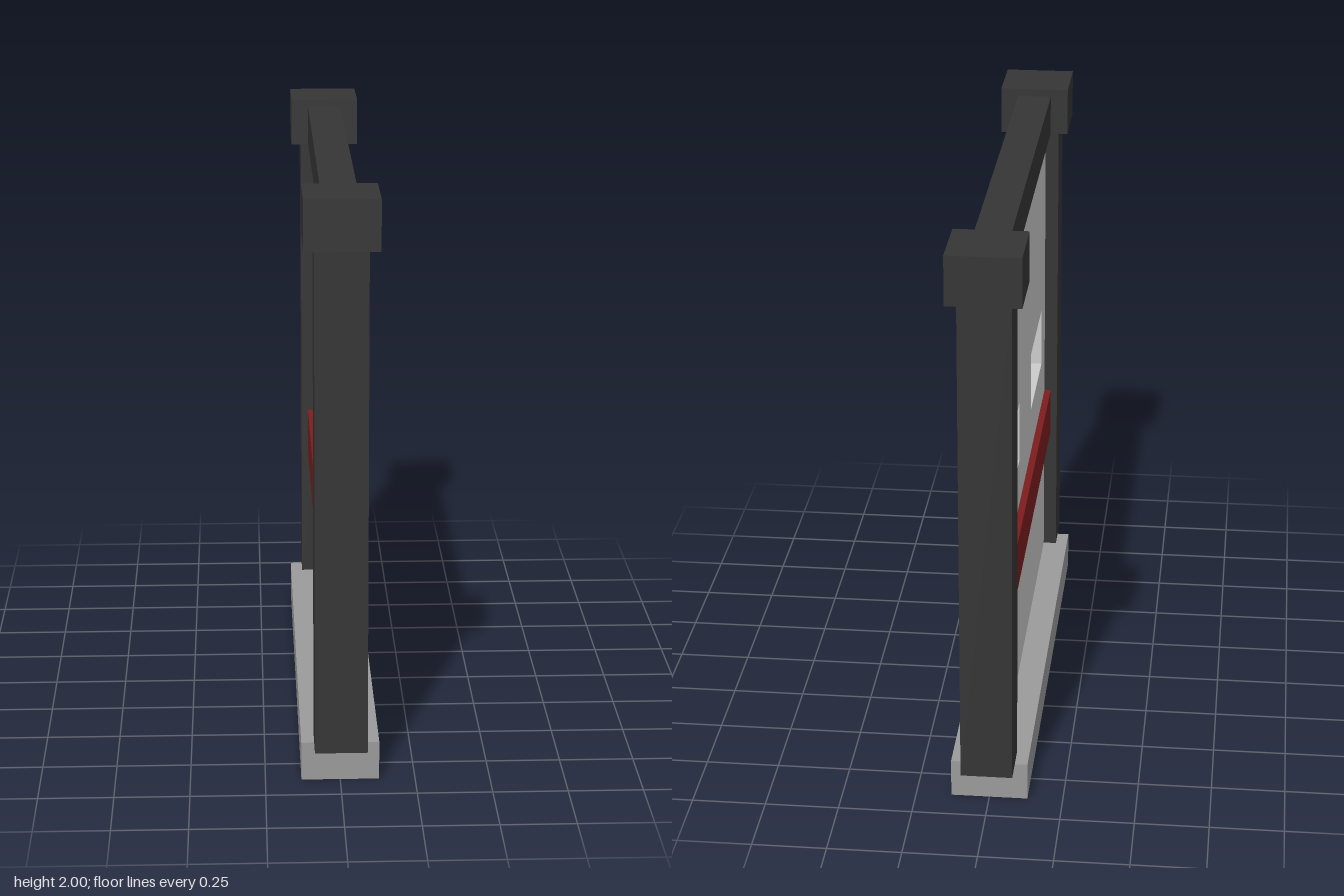
import * as THREE from 'three';

const paint = (color) => new THREE.MeshStandardMaterial({ color, flatShading: true });

export function createModel() {
  const model = new THREE.Group();
  model.name = 'wallPanel';
  const dark = paint(0x353535), grey = paint(0xcccccc), stone = paint(0x9b9b9b), red = paint(0x7d1d1d);

  const add = (name, geometry, material) => {
    const mesh = new THREE.Mesh(geometry, material);
    mesh.name = name;
    model.add(mesh);
    return mesh;
  };
  // Box centred on x, spanning y0..y1 and z0..z1
  const box = (name, width, y0, y1, z0, z1, material) => {
    const mesh = add(name, new THREE.BoxGeometry(width, y1 - y0, z1 - z0), material);
    mesh.position.set(0, (y0 + y1) / 2, (z0 + z1) / 2);
  };
  const rectangle = (path, a0, b0, a1, b1) =>
    path.moveTo(a0, b0).lineTo(a1, b0).lineTo(a1, b1).lineTo(a0, b1).closePath();

  // Foot of the wall
  box('base', 0.26, 0, 0.133, -0.88, 0.88, stone);

  // Thin panel with two window openings, turned to run along z
  const outline = new THREE.Shape();
  rectangle(outline, -0.8, 0.13, 0.8, 1.84);
  for (const z of [-0.435, 0.435]) {
    const opening = new THREE.Path();
    rectangle(opening, z - 0.218, 0.958, z + 0.218, 1.177);
    outline.holes.push(opening);
  }
  const thickness = 0.078;
  const panel = new THREE.ExtrudeGeometry(outline, { depth: thickness, bevelEnabled: false });
  panel.translate(0, 0, -thickness / 2).rotateY(Math.PI / 2);
  add('panel', panel, grey);

  // Stripe standing proud of both faces
  box('stripe', 0.126, 0.615, 0.79, -0.8, 0.8, red);

  // Top rail between the caps
  box('topRail', 0.12, 1.833, 1.973, -0.77, 0.77, dark);

  // Post and cap at each end
  for (const [end, side] of [['front', 1], ['back', -1]]) {
    const span = (a, b) => (side > 0 ? [a, b] : [-b, -a]);
    box(end + 'Post', 0.174, 0.134, 1.84, ...span(0.795, 0.971), dark);
    box(end + 'Cap', 0.244, 1.833, 2, ...span(0.758, 1), dark);
  }
  return model;
}
